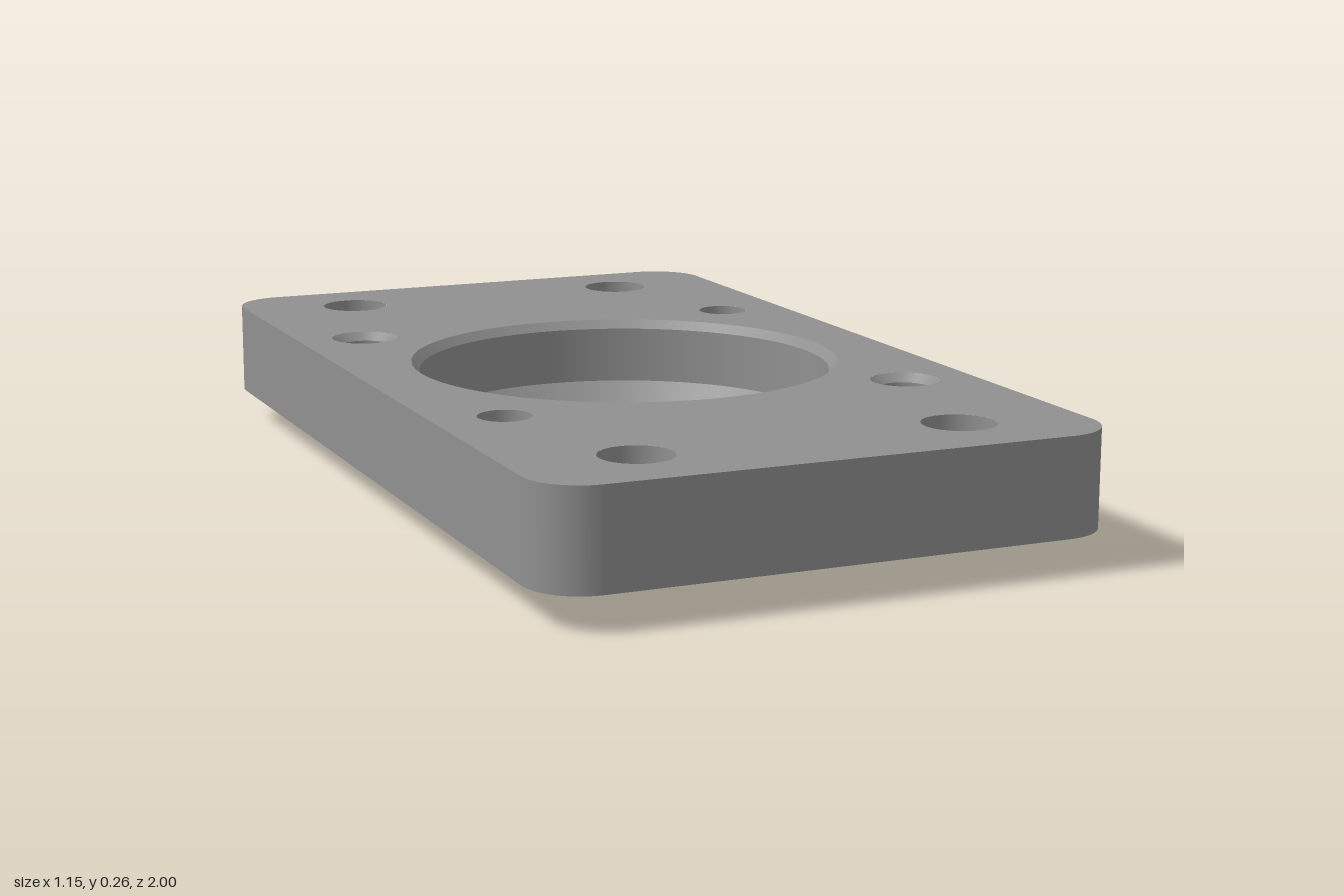
import * as THREE from 'three';
import { mergeGeometries } from 'three/addons/utils/BufferGeometryUtils.js';

const HALF_X = 0.575, HALF_Z = 1, CORNER = 0.11;
const BOTTOM = 0.07, TOP = 0.265;
const BOLT = 0.43, BOLT_R = 0.053, SINK_R = 0.07;
const PIN_X = 0.328, PIN_Z = 0.82, PIN_R = 0.072, PIN_FLOOR = 0.14;
const BORE_R = 0.445, BOSS_R = 0.425;

// Rounded rectangle outline: position and outward normal, counterclockwise
function outline(steps = 12) {
  const pts = [];
  const signs = [[1, 1], [-1, 1], [-1, -1], [1, -1]];
  signs.forEach(([sx, sy], q) => {
    for (let i = 0; i <= steps; i++) {
      const a = (q + i / steps) * Math.PI / 2;
      const nx = Math.cos(a), ny = Math.sin(a);
      pts.push({
        x: sx * (HALF_X - CORNER) + CORNER * nx,
        y: sy * (HALF_Z - CORNER) + CORNER * ny, nx, ny,
      });
    }
  });
  return pts;
}

// Flat plate face with round holes; side is 1 for top, -1 for bottom
function plateFace(side, holes) {
  const shape = new THREE.Shape(outline().map(p => new THREE.Vector2(p.x, p.y)));
  for (const [x, z, r] of holes) {
    shape.holes.push(new THREE.Path().absarc(x, -side * z, r, 0, Math.PI * 2, true));
  }
  return new THREE.ShapeGeometry(shape, 32)
    .rotateX(-side * Math.PI / 2)
    .translate(0, side > 0 ? TOP : BOTTOM, 0);
}

// Outer wall: a strip wrapped around the outline
function plateWall() {
  const pts = outline(), n = pts.length;
  const geo = new THREE.PlaneGeometry(1, 1, n, 1);
  const pos = geo.attributes.position, nor = geo.attributes.normal;
  for (let i = 0; i < pos.count; i++) {
    const p = pts[(i % (n + 1)) % n];
    pos.setXYZ(i, p.x, i <= n ? TOP : BOTTOM, -p.y);
    nor.setXYZ(i, p.nx, 0, -p.ny);
  }
  return geo;
}

// Turned surface with a sharp edge at every profile point
function turned(profile, segments) {
  const parts = [];
  for (let i = 0; i < profile.length - 1; i++) {
    const pair = [profile[i], profile[i + 1]].map(([r, y]) => new THREE.Vector2(r, y));
    parts.push(new THREE.LatheGeometry(pair, segments));
  }
  return mergeGeometries(parts);
}

export function createModel() {
  const group = new THREE.Group();
  const metal = new THREE.MeshStandardMaterial({ color: 0x909090 });
  metal.name = 'grey metal';
  const add = (name, geo, x = 0, z = 0) => {
    const mesh = new THREE.Mesh(geo, metal);
    mesh.name = name;
    mesh.position.set(x, 0, z);
    group.add(mesh);
  };

  const bolts = [], pins = [];
  for (const sx of [-1, 1]) for (const sz of [-1, 1]) {
    // Bolt holes on one diagonal are chamfered at both ends
    bolts.push([sx * BOLT, sz * BOLT, sx === sz ? SINK_R : BOLT_R]);
    pins.push([sx * PIN_X, sz * PIN_Z, PIN_R]);
  }

  // Plate
  add('plateTop', plateFace(1, [[0, 0, BORE_R], ...bolts, ...pins]));
  add('plateBottom', plateFace(-1, [[0, 0, BOSS_R], ...bolts]));
  add('plateWall', plateWall());

  // Stepped bore running down into the locating boss
  add('boreAndBoss', turned([
    [BORE_R, TOP], [0.428, 0.247], [0.428, 0.128], [0.378, 0.075],
    [0.378, 0], [0.41, 0], [BOSS_R, 0.016], [BOSS_R, BOTTOM],
  ], 96));

  // Through holes for bolts
  for (const [x, z, r] of bolts) {
    const c = r - BOLT_R;
    const profile = c > 0
      ? [[r, TOP], [BOLT_R, TOP - c], [BOLT_R, BOTTOM + c], [r, BOTTOM]]
      : [[r, TOP], [r, BOTTOM]];
    add('boltHole', turned(profile, 32), x, z);
  }

  // Blind pin holes
  for (const [x, z, r] of pins) {
    add('pinHole', turned([[r, TOP], [r, PIN_FLOOR], [0, PIN_FLOOR]], 32), x, z);
  }
  return group;
}
